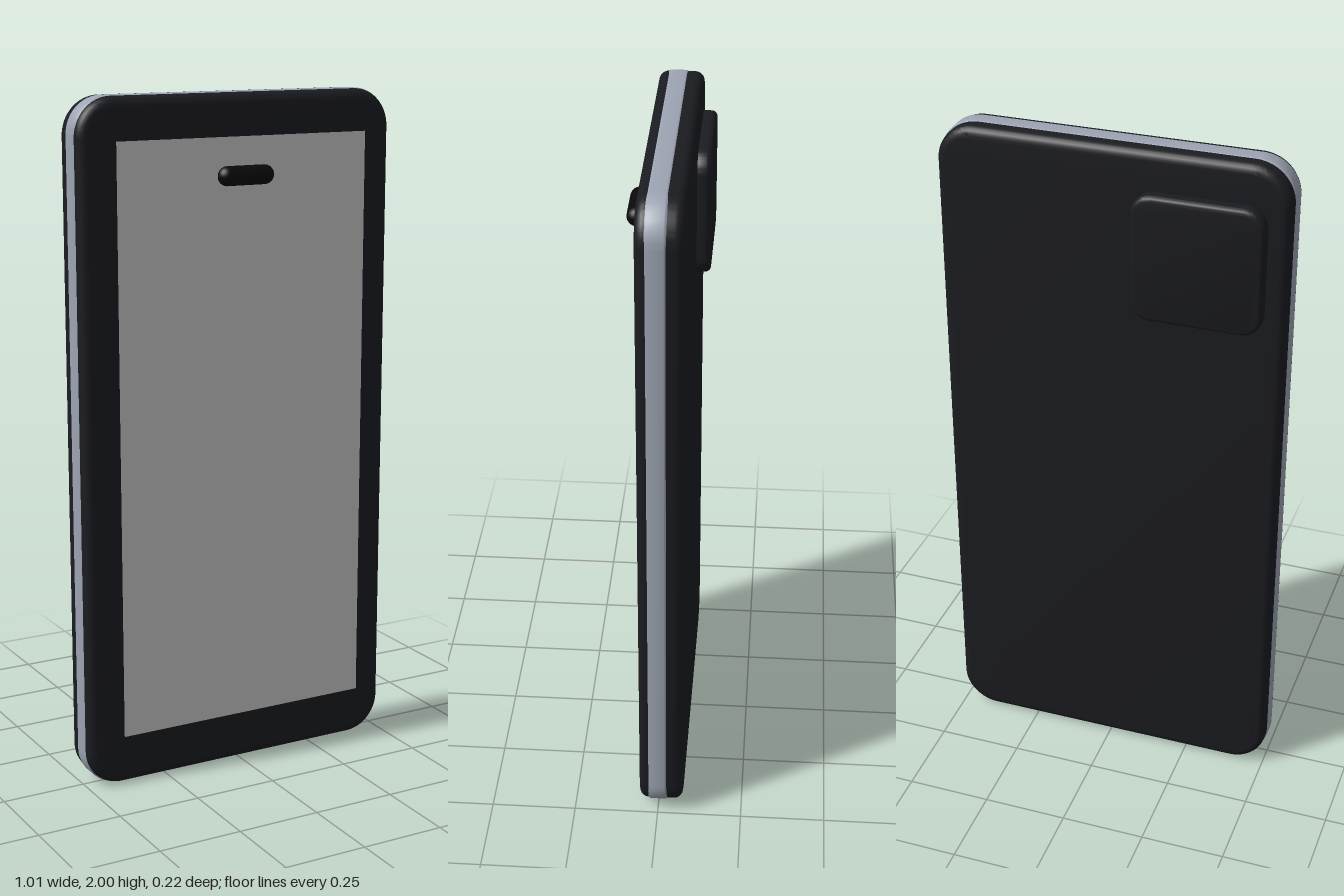
import * as THREE from 'three';
import { toCreasedNormals } from 'three/addons/utils/BufferGeometryUtils.js';

const material = (color) => new THREE.MeshStandardMaterial({ color });

// Rounded rectangle outline centred on the origin
function roundedRect(w, h, r) {
  const s = new THREE.Shape();
  const x = w / 2 - r, y = h / 2 - r;
  s.absarc(x, y, r, 0, Math.PI / 2);
  s.absarc(-x, y, r, Math.PI / 2, Math.PI);
  s.absarc(-x, -y, r, Math.PI, Math.PI * 1.5);
  s.absarc(x, -y, r, Math.PI * 1.5, Math.PI * 2);
  s.closePath();
  return s;
}

// Slab of full size w x h between z0 and z1, with rounded corners and softened rims
function slab(name, mat, w, h, r, z0, z1, bevel) {
  const geo = new THREE.ExtrudeGeometry(roundedRect(w - 2 * bevel, h - 2 * bevel, r - bevel), {
    depth: z1 - z0 - 2 * bevel,
    bevelThickness: bevel,
    bevelSize: bevel,
    bevelSegments: 5,
    curveSegments: 10,
  });
  geo.translate(0, 0, z0 + bevel);
  const mesh = new THREE.Mesh(toCreasedNormals(geo, 0.6), mat);
  mesh.name = name;
  return mesh;
}

export function createModel() {
  const model = new THREE.Group();
  model.name = 'phone';
  const dark = material(0x1b1c21);

  // Case and the metal band around its edge
  const body = slab('body', dark, 1.004, 1.997, 0.11, -0.073, 0.055, 0.026);
  body.position.y = 1;
  const band = slab('edgeBand', material(0x9da4b2), 1.008, 2.0, 0.107, -0.03, 0.031, 0.01);
  band.position.y = 1;

  // Flat display panel, standing a little in front of the case
  const screen = new THREE.Mesh(new THREE.PlaneGeometry(0.8, 1.722), material(0xcccccc));
  screen.name = 'screen';
  screen.position.set(0, 1.018, 0.079);

  // Pill shaped sensor housing set into the display
  const pill = new THREE.Mesh(new THREE.CapsuleGeometry(0.028, 0.12, 8, 20), material(0x08090a));
  pill.name = 'sensorPill';
  pill.rotation.z = Math.PI / 2;
  pill.position.set(0, 1.77, 0.083);

  // Raised camera block on the back
  const bump = slab('cameraBump', dark, 0.375, 0.372, 0.06, -0.112, -0.06, 0.016);
  bump.position.set(-0.257, 1.702, 0);

  model.add(body, band, screen, pill, bump);
  return model;
}
